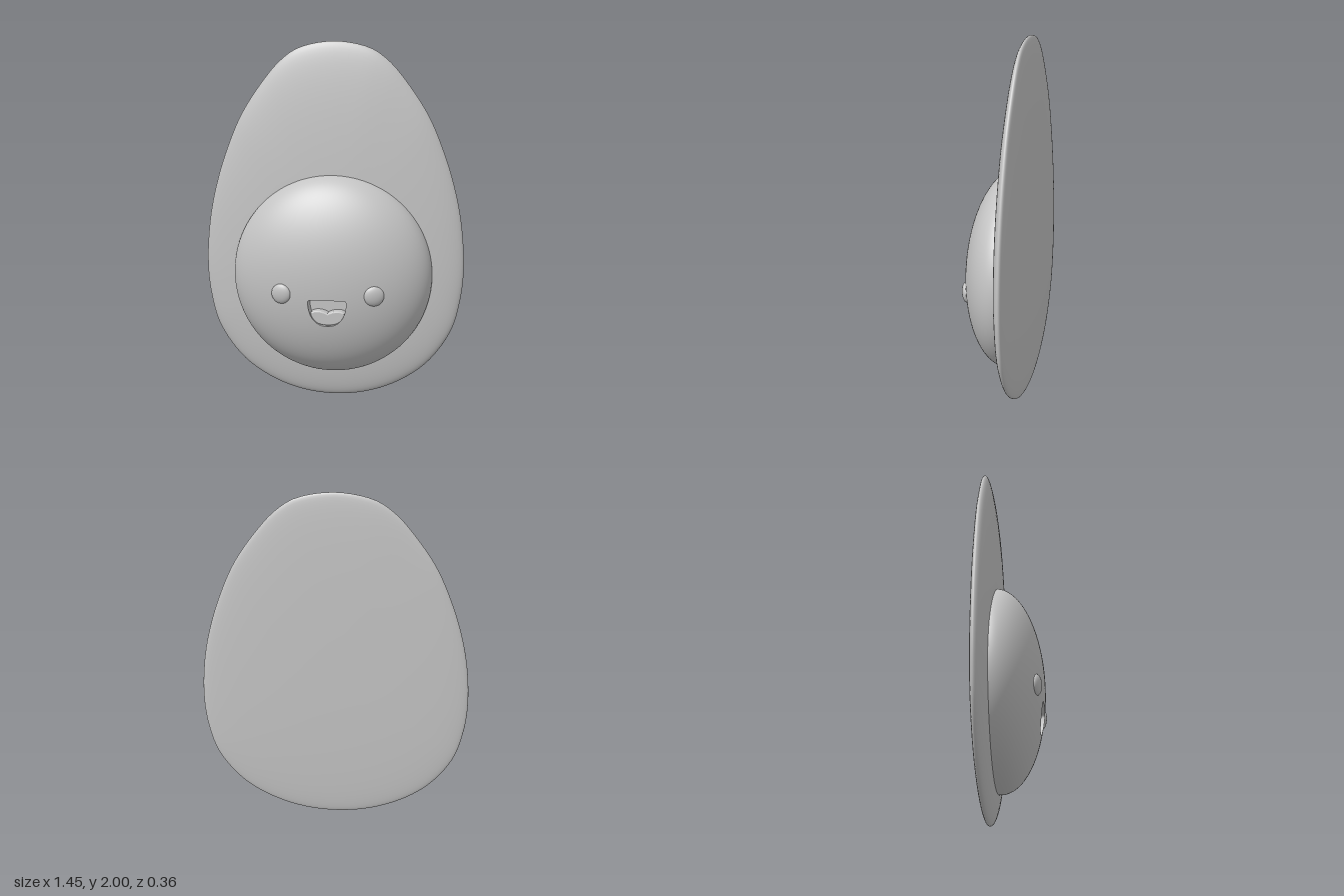
import * as THREE from 'three';

const grey = new THREE.MeshStandardMaterial({ color: 0xc4c4c4 });
grey.name = 'plain grey';

const CY = 0.715, R = 0.555; // dome centre height and radius
const domeZ = (x, y) => -0.07 + 0.25 * Math.sqrt(Math.max(0, 1 - (x * x + (y - CY) ** 2) / (R * R)));

// Skin over a list of closed rings with equal point counts
function loft(rings) {
  const n = rings[0].length, pos = [], index = [];
  rings.forEach(ring => ring.forEach(p => pos.push(p.x, p.y, p.z)));
  for (let r = 0; r < rings.length - 1; r++) {
    for (let i = 0; i < n; i++) {
      const j = (i + 1) % n, a = r * n, b = a + n;
      index.push(a + i, b + i, b + j, a + i, b + j, a + j);
    }
  }
  const g = new THREE.BufferGeometry();
  g.setAttribute('position', new THREE.Float32BufferAttribute(pos, 3));
  g.setIndex(index);
  g.computeVertexNormals();
  return g;
}

function add(group, name, geometry) {
  const m = new THREE.Mesh(geometry, grey);
  m.name = name;
  group.add(m);
  return m;
}

// Pear-shaped slab: scaled copies of the outline, domed in front and flatter behind
function bodyGeometry() {
  const half = [[0.2, 1.963], [0.3, 1.895], [0.385, 1.8], [0.52, 1.6], [0.607, 1.4], [0.67, 1.2],
    [0.71, 1], [0.727, 0.76], [0.712, 0.58], [0.66, 0.39], [0.53, 0.205], [0.37, 0.09], [0.19, 0.022]];
  const pts = [[0, 2], ...half.map(([x, y]) => [-x, y]), [0, 0], ...half.slice().reverse()];
  const curve = new THREE.CatmullRomCurve3(pts.map(([x, y]) => new THREE.Vector3(x, y, 0)), true);
  const outline = curve.getSpacedPoints(128).slice(0, 128);
  const rings = [], steps = 48, cy = 0.87;
  for (let k = 0; k <= steps; k++) {
    const t = Math.PI * k / steps, s = Math.sin(t), c = Math.cos(t);
    const z = -0.135 + (c > 0 ? 0.09 * c : -0.045 * Math.pow(-c, 0.75));
    rings.push(outline.map(p => new THREE.Vector3(p.x * s, cy + (p.y - cy) * s, z)));
  }
  return loft(rings);
}

// Lower curve shared by mouth and tongue, drawn left to right
function chin(shape, w, y, bottom) {
  shape.bezierCurveTo(-w * 0.97, y - (y - bottom) * 0.7, -w * 0.52, bottom, 0, bottom);
  shape.bezierCurveTo(w * 0.52, bottom, w * 0.97, y - (y - bottom) * 0.7, w, y);
}

function mouthOutline() {
  const s = new THREE.Shape();
  s.moveTo(0.09, 0.613);
  s.lineTo(-0.09, 0.613);
  s.quadraticCurveTo(-0.106, 0.613, -0.105, 0.595);
  chin(s, 0.105, 0.595, 0.465);
  s.quadraticCurveTo(0.106, 0.613, 0.09, 0.613);
  return s.getSpacedPoints(160).slice(0, 160);
}

export function createModel() {
  const model = new THREE.Group();
  model.name = 'smilingFruit';
  add(model, 'body', bodyGeometry());

  // Dome, spreading from the mouth opening to its round rim
  const mouth = mouthOutline(), my = 0.55, rings = [];
  for (let k = 0; k <= 40; k++) {
    const t = Math.sin(k / 40 * Math.PI / 2);
    rings.push(mouth.map(p => {
      const a = Math.atan2(p.y - my, p.x);
      const x = THREE.MathUtils.lerp(p.x, R * Math.cos(a), t);
      const y = THREE.MathUtils.lerp(p.y, CY + R * Math.sin(a), t);
      return new THREE.Vector3(x, y, domeZ(x, y));
    }));
  }
  rings.push(rings[40].map(p => new THREE.Vector3(p.x, p.y, -0.12)));
  add(model, 'dome', loft(rings));

  // Hollow mouth
  const floor = mouth.map(p => new THREE.Vector3(p.x, p.y, 0.09));
  add(model, 'mouthWall', loft([floor, rings[0]]));
  add(model, 'mouthFloor', loft([floor.map(() => new THREE.Vector3(0, my, 0.09)), floor]));

  // Tongue with a two-humped top
  const t = new THREE.Shape();
  t.moveTo(0.09, 0.535);
  t.bezierCurveTo(0.065, 0.552, 0.03, 0.545, 0, 0.53);
  t.bezierCurveTo(-0.03, 0.545, -0.065, 0.552, -0.09, 0.535);
  chin(t, 0.09, 0.535, 0.472);
  const tongue = add(model, 'tongue', new THREE.ExtrudeGeometry(t, {
    depth: 0.045, bevelThickness: 0.01, bevelSize: 0.008, bevelOffset: -0.004, bevelSegments: 4, curveSegments: 16,
  }));
  tongue.position.z = 0.09;

  // Flattened eyes lying on the dome
  for (const side of [-1, 1]) {
    const x = 0.255 * side, y = 0.64, z = domeZ(x, y);
    const eye = add(model, side > 0 ? 'leftEye' : 'rightEye', new THREE.SphereGeometry(0.055, 32, 20));
    eye.scale.z = 0.4;
    eye.position.set(x, y, z);
    const normal = new THREE.Vector3(x / (R * R), (y - CY) / (R * R), (z + 0.07) / 0.0625).normalize();
    eye.quaternion.setFromUnitVectors(new THREE.Vector3(0, 0, 1), normal);
  }
  return model;
}
